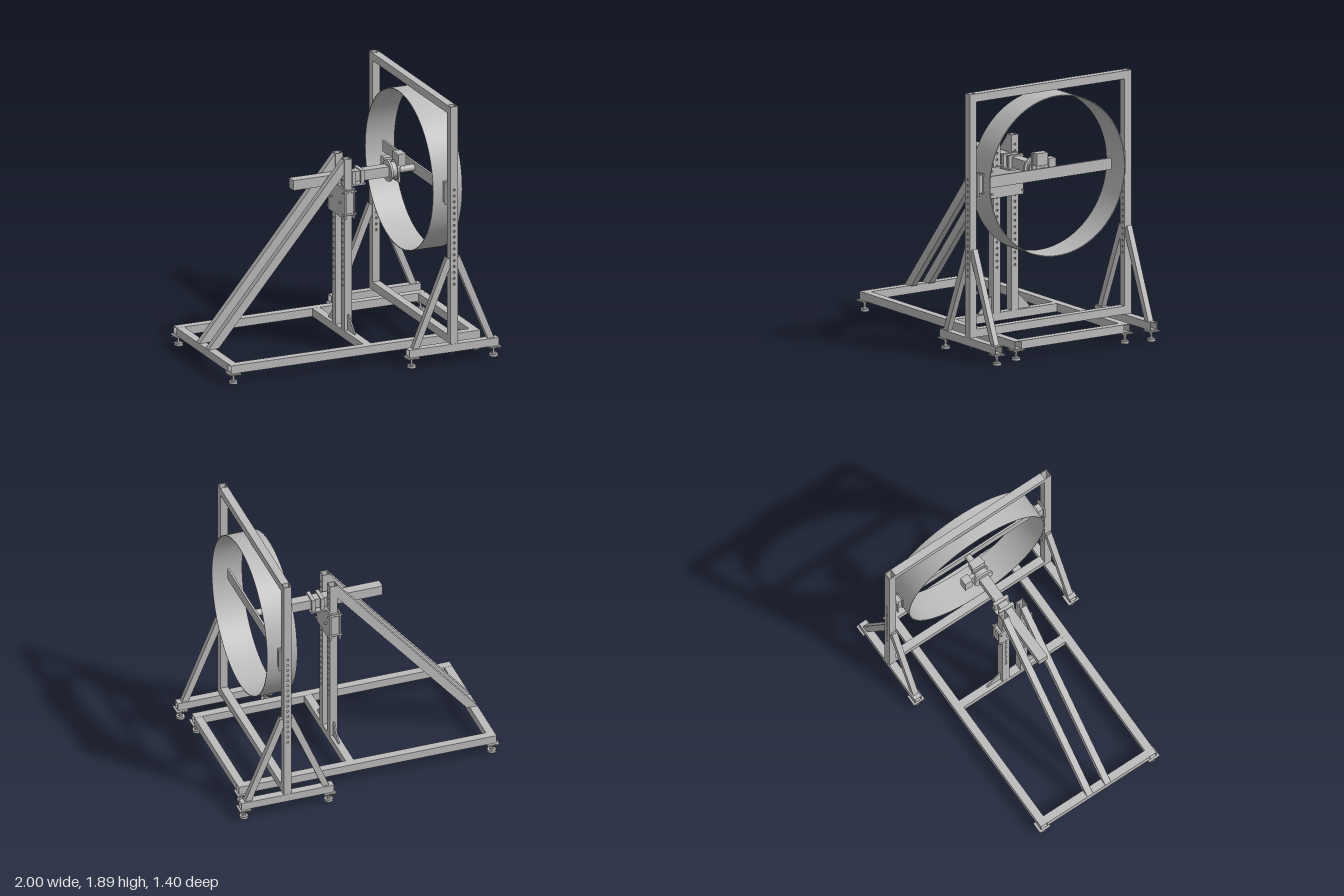
import * as THREE from 'three';

export function createModel() {
  const model = new THREE.Group();
  const steel = new THREE.MeshStandardMaterial({ color: 0xbcbcbc });
  steel.name = 'steel grey';
  steel.side = THREE.DoubleSide;

  const add = (name, geo, parent = model) => {
    const m = new THREE.Mesh(geo, steel);
    m.name = name;
    parent.add(m);
    return m;
  };
  const group = (name, parent = model) => {
    const g = new THREE.Group();
    g.name = name;
    parent.add(g);
    return g;
  };
  // Box given by its limits on each axis
  const box = (name, x0, x1, y0, y1, z0, z1, parent) => {
    const m = add(name, new THREE.BoxGeometry(x1 - x0, y1 - y0, z1 - z0), parent);
    m.position.set((x0 + x1) / 2, (y0 + y1) / 2, (z0 + z1) / 2);
    return m;
  };
  const rod = (name, axis, r, len, x, y, z, parent, sides = 24) => {
    const g = new THREE.CylinderGeometry(r, r, len, sides);
    if (axis === 'x') g.rotateZ(Math.PI / 2);
    if (axis === 'z') g.rotateX(Math.PI / 2);
    const m = add(name, g, parent);
    m.position.set(x, y, z);
    return m;
  };
  const rectPath = (T, a, b, c, d) => {
    const p = new T();
    p.moveTo(a, c); p.lineTo(b, c); p.lineTo(b, d); p.lineTo(a, d); p.closePath();
    return p;
  };
  // Open square tube along x or z
  const tube = (name, axis, w, from, to, y, side, parent) => {
    const h = w / 2, i = h - 0.005;
    const s = rectPath(THREE.Shape, -h, h, -h, h);
    s.holes.push(rectPath(THREE.Path, -i, i, -i, i));
    const g = new THREE.ExtrudeGeometry(s, { depth: to - from, bevelEnabled: false });
    g.translate(0, 0, from);
    if (axis === 'x') g.rotateY(Math.PI / 2);
    const m = add(name, g, parent);
    if (axis === 'x') m.position.set(0, y, side);
    else m.position.set(side, y, 0);
    return m;
  };
  // Upright square tube with a row of holes through two opposite walls
  const drilledTube = (name, w, y0, y1, holeFrom, holeTo, count, parent) => {
    const g = group(name, parent), h = w / 2, t = 0.005;
    const s = rectPath(THREE.Shape, -h, h, y0, y1);
    for (let i = 0; i < count; i++) {
      const p = new THREE.Path();
      p.absarc(0, holeFrom + (holeTo - holeFrom) * i / (count - 1), 0.008, 0, Math.PI * 2, true);
      s.holes.push(p);
    }
    const wall = new THREE.ExtrudeGeometry(s, { depth: t, bevelEnabled: false, curveSegments: 8 });
    add('drilledWall', wall, g).position.z = h - t;
    add('drilledWall', wall, g).position.z = -h;
    box('plainWall', h - t, h, y0, y1, -h + t, h - t, g);
    box('plainWall', -h, -h + t, y0, y1, -h + t, h - t, g);
    return g;
  };
  // Flat polygon in the xy plane, centred in depth
  const slab = (name, pts, depth, parent) => {
    const s = new THREE.Shape(pts.map(p => new THREE.Vector2(...p)));
    const g = new THREE.ExtrudeGeometry(s, { depth, bevelEnabled: false });
    g.translate(0, 0, -depth / 2);
    return add(name, g, parent);
  };
  // Levelling foot with mounting plate
  const foot = (x, z, parent) => {
    const f = group('levellingFoot', parent);
    f.position.set(x, 0, z);
    rod('footPad', 'y', 0.031, 0.018, 0, 0.009, 0, f);
    rod('footCollar', 'y', 0.016, 0.012, 0, 0.024, 0, f);
    rod('footStud', 'y', 0.008, 0.06, 0, 0.05, 0, f, 12);
    rod('footNut', 'y', 0.016, 0.012, 0, 0.064, 0, f, 6);
    box('footPlate', -0.043, 0.043, 0.071, 0.08, -0.045, 0.045, f);
    for (const s of [-1, 1]) rod('footBolt', 'y', 0.004, 0.025, s * 0.033, 0.065, s * 0.034, f, 8);
  };

  // Rectangular base frame
  const base = group('baseFrame');
  base.position.z = -0.004;
  for (const s of [-1, 1]) {
    tube('longRail', 'x', 0.06, -0.985, 0.93, 0.11, s * 0.46, base);
    for (const x of [-0.957, 0.902]) foot(x, s * 0.463, base);
  }
  for (const x of [-0.956, 0.086, 0.901]) tube('crossRail', 'z', 0.059, -0.43, 0.43, 0.11, x, base);

  // Twin columns with long rear braces and gussets
  const tower = group('tower');
  for (const s of [-1, 1]) {
    const c = drilledTube('column', 0.059, 0.14, 1.4, 0.465, 1.33, 20, tower);
    c.rotation.y = Math.PI / 2;
    c.position.set(0.0865, 0, s * 0.0765);
    slab('longBrace', [[-0.985, 0.14], [-0.905, 0.14], [0.057, 1.29], [0.057, 1.395]], 0.048, tower)
      .position.z = s * 0.076;
    const g = slab('gusset', [[0, 0.14], [0.112, 0.14], [0.112, 0.15], [0.01, 0.255], [0, 0.255]], 0.01, tower);
    g.rotation.y = -s * Math.PI / 2;
    g.position.set(0.088, 0, s * 0.106);
  }

  // Height-adjustable carriage
  const carriage = group('carriage');
  box('rearClampPlate', 0.046, 0.056, 0.967, 1.19, -0.142, 0.142, carriage);
  box('frontClampPlate', 0.117, 0.127, 0.967, 1.19, -0.142, 0.142, carriage);
  for (const s of [-1, 1]) {
    box('clampSide', 0.056, 0.117, 0.99, 1.175, s * 0.118 - 0.008, s * 0.118 + 0.008, carriage);
    for (const y of [1.0, 1.165]) rod('clampBolt', 'x', 0.007, 0.11, 0.0865, y, s * 0.13, carriage, 8);
    rod('clampBolt', 'x', 0.007, 0.12, 0.0865, 1.08, s * 0.076, carriage, 8);
  }
  box('armShelf', 0.117, 0.245, 1.178, 1.19, -0.07, 0.06, carriage);
  for (const x of [0.142, 0.209]) {
    box('clampTop', x, x + 0.026, 1.275, 1.286, -0.067, 0.056, carriage);
    for (const z of [-0.055, 0.044]) box('clampCheek', x, x + 0.026, 1.19, 1.275, z - 0.011, z + 0.011, carriage);
  }

  // Horizontal arm with rotary head and cross bar
  const arm = group('arm');
  box('armBeam', -0.3, 0.44, 1.2, 1.274, -0.042, 0.031, arm);
  const head = group('rotaryHead', arm);
  rod('headFlange', 'x', 0.078, 0.016, 0.442, 1.235, -0.004, head, 32);
  rod('headBody', 'x', 0.058, 0.05, 0.47, 1.235, -0.004, head, 32);
  rod('headFlange', 'x', 0.072, 0.014, 0.496, 1.235, -0.004, head, 32);
  box('headPlate', 0.497, 0.515, 1.155, 1.36, -0.055, 0.05, head);
  box('headBlock', 0.515, 0.56, 1.27, 1.36, -0.05, 0.045, head);
  box('driveBox', 0.452, 0.512, 1.18, 1.3, -0.15, -0.09, head);
  box('driveMount', 0.47, 0.5, 1.19, 1.285, -0.09, -0.05, head);
  rod('headShaft', 'x', 0.025, 0.14, 0.575, 1.233, 0, head);
  box('crossBar', 0.637, 0.652, 1.192, 1.275, -0.525, 0.525, arm);

  // Portal frame around the ring
  const portal = group('portalFrame');
  const px = 0.637;
  tube('topBeam', 'z', 0.058, -0.63, 0.63, 1.86, px, portal);
  tube('bottomBeam', 'z', 0.058, -0.63, 0.63, 0.17, px, portal);
  for (const s of [-1, 1]) {
    drilledTube('post', 0.058, 0.14, 1.89, 0.58, 1.275, 17, portal).position.set(px, 0, s * 0.659);
    tube('footRail', 'x', 0.058, 0.292, 0.982, 0.11, s * 0.659, portal);
    for (const x of [0.323, 0.953]) foot(x, s * 0.657, portal);
    rod('postBolt', 'y', 0.005, 0.03, px, 0.07, s * 0.659, portal, 8);
    for (const d of [-1, 1]) {
      const pts = [[0.313, 0.14], [0.264, 0.14], [0.029, 0.7], [0.029, 0.765], [0.05, 0.78]];
      slab('postBrace', pts.map(([x, y]) => [px + d * x, y]), 0.042, portal).position.z = s * 0.656;
    }
    // Brackets holding the ring
    const b = group('ringBracket', portal);
    b.position.set(px, 0, s * 0.6);
    box('bracketPlate', -0.043, 0.043, 1.15, 1.318, s * 0.022 - 0.005, s * 0.022 + 0.005, b);
    box('bracketBlock', -0.027, 0.027, 1.17, 1.3, -0.024, 0.024, b);
    box('bracketPad', -0.035, 0.035, 1.16, 1.31, -s * 0.023 - 0.004, -s * 0.023 + 0.004, b);
  }

  // Thin-walled ring
  const R = 0.577, r = 0.571, w = 0.112;
  const profile = [[r, -w], [R, -w], [R, -w], [R, w], [R, w], [r, w], [r, w], [r, -w]];
  for (let i = 0; i < 8; i += 2) {
    const pts = [profile[i], profile[i + 1]].map(p => new THREE.Vector2(...p));
    const g = new THREE.LatheGeometry(pts, 96);
    g.rotateZ(Math.PI / 2);
    add('ring', g).position.set(0.6375, 1.233, 0);
  }
  return model;
}
